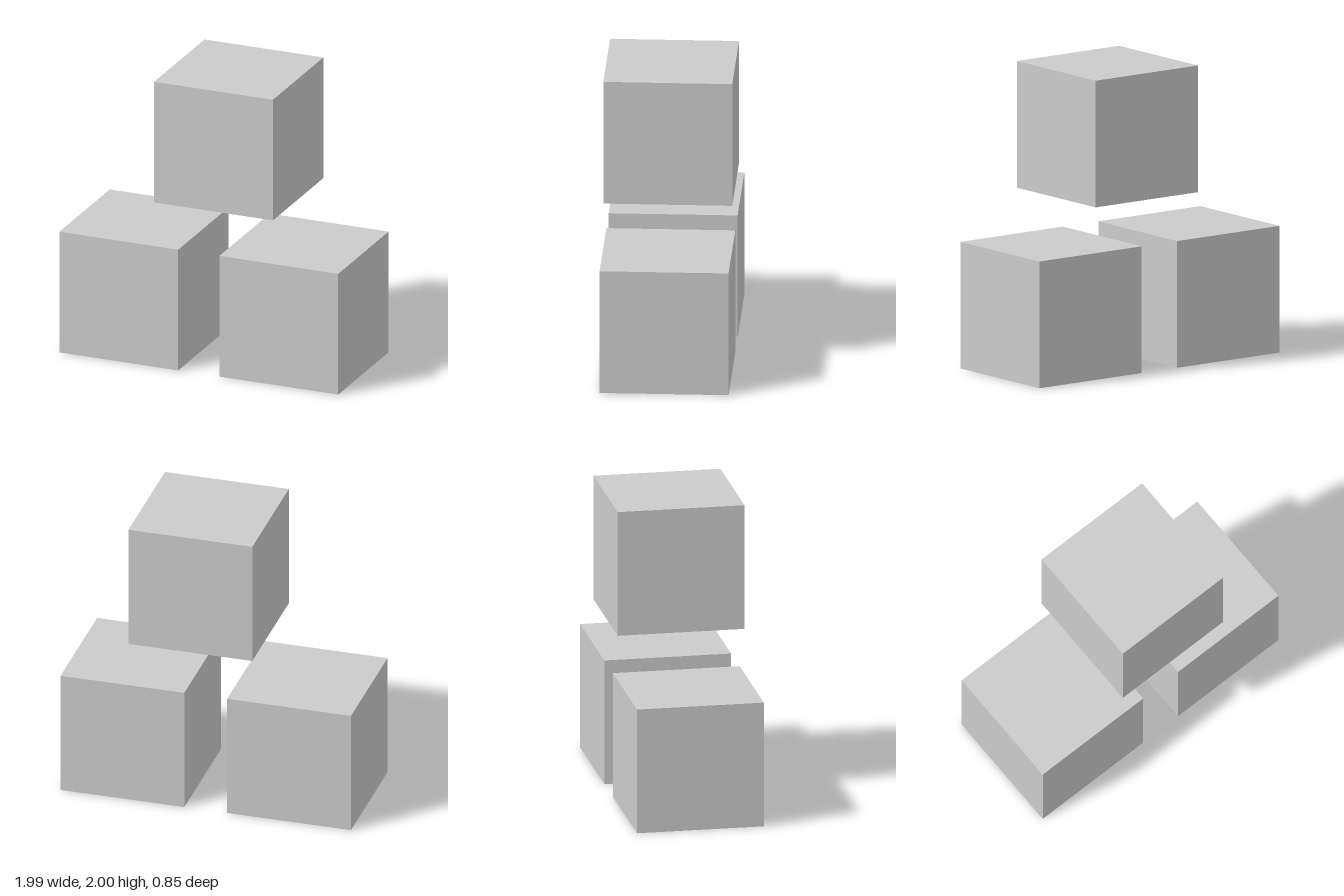
import * as THREE from 'three';

const SIZE = 0.847;

export function createModel() {
  const model = new THREE.Group();
  model.name = 'stackedCubes';
  const material = new THREE.MeshStandardMaterial({ color: 0xcccccc });
  const geometry = new THREE.BoxGeometry(SIZE, SIZE, SIZE);

  // Two cubes on the ground, one above them and off centre
  const cubes = [
    ['lowerRightCube', -0.57, SIZE / 2],
    ['lowerLeftCube', 0.57, SIZE / 2],
    ['upperCube', 0.105, 2 - SIZE / 2],
  ];
  for (const [name, x, y] of cubes) {
    const cube = new THREE.Mesh(geometry, material);
    cube.name = name;
    cube.position.set(x, y, 0);
    model.add(cube);
  }
  return model;
}
